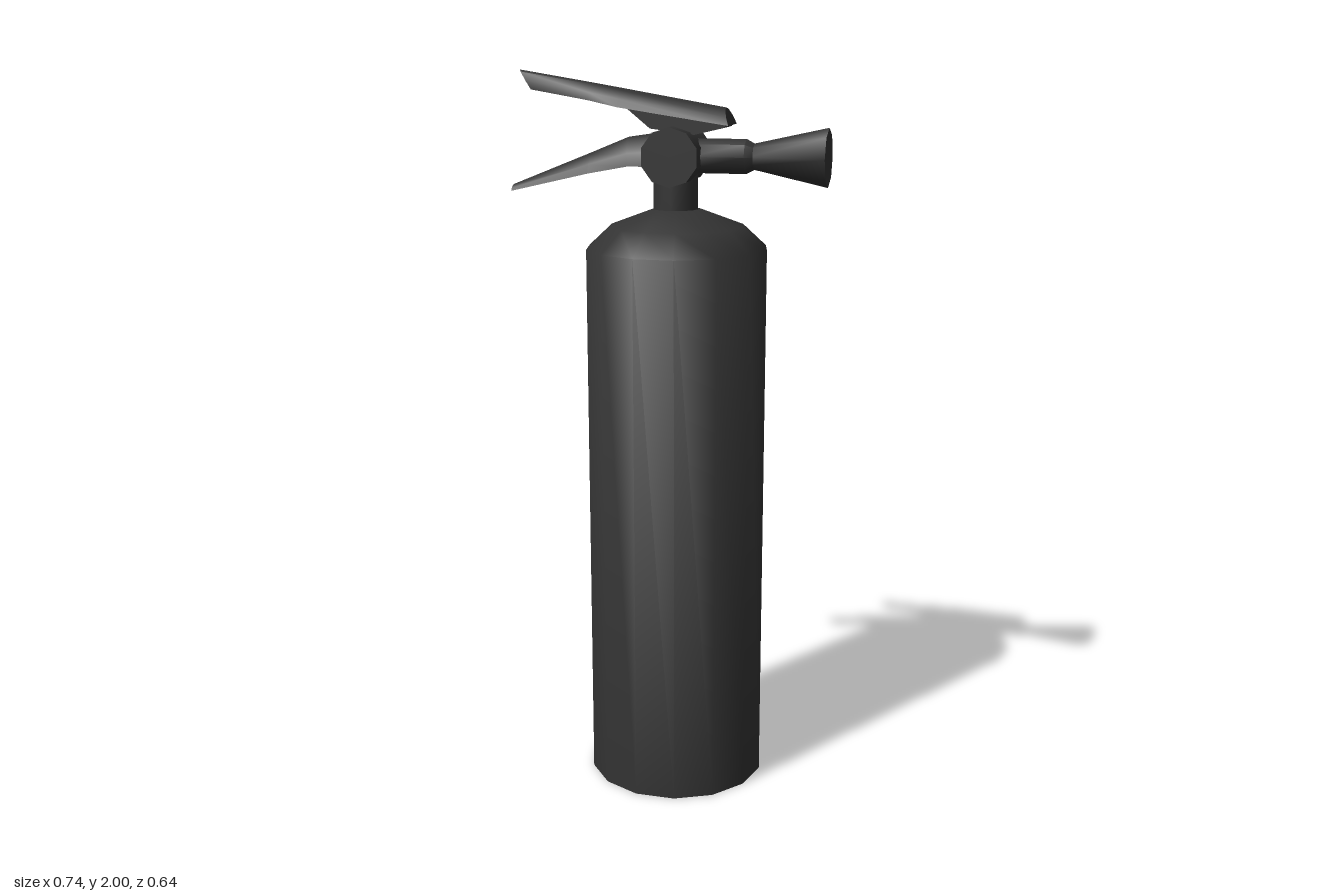
import * as THREE from 'three';
import { toCreasedNormals } from 'three/addons/utils/BufferGeometryUtils.js';

const material = new THREE.MeshStandardMaterial({ color: 0x333333 });

function part(name, geometry, crease = 0.95) {
  const mesh = new THREE.Mesh(toCreasedNormals(geometry, crease), material);
  mesh.name = name;
  return mesh;
}

// Arched cross-section: [side, height], from one lower edge over the ridge to the other
const ARCH = [[-1, 0], [-0.85, 0.45], [-0.4, 0.9], [0, 1], [0.4, 0.9], [0.85, 0.45], [1, 0]];

// Lofts the arch along x; each station is [x, bottom, top, halfWidth, lean of the lower edge]
function loft(stations) {
  const points = [];
  const index = [];
  const n = ARCH.length;
  for (const [x, bottom, top, half, lean] of stations) {
    for (const [side, h] of ARCH) {
      points.push(x + lean * (1 - h), bottom + (top - bottom) * h, side * half);
    }
  }
  for (let s = 0; s < stations.length - 1; s++) {
    for (let i = 0; i < n; i++) {
      const a = s * n + i;
      const b = s * n + ((i + 1) % n);
      index.push(a, b, b + n, a, b + n, a + n);
    }
  }
  const last = (stations.length - 1) * n;
  for (let i = 1; i < n - 1; i++) {
    index.push(0, i + 1, i, last, last + i, last + i + 1);
  }
  const geometry = new THREE.BufferGeometry();
  geometry.setAttribute('position', new THREE.Float32BufferAttribute(points, 3));
  geometry.setIndex(index);
  return geometry;
}

// Revolved profile of [radius, position] pairs
function revolve(profile, sides) {
  return new THREE.LatheGeometry(profile.map(([r, y]) => new THREE.Vector2(r, y)), sides);
}

export function createModel() {
  const model = new THREE.Group();
  model.name = 'fireExtinguisher';

  // Tank with sloping shoulders and a flat base
  const tank = part('tank', revolve([[0, 0], [0.25, 0], [0.25, 1.53], [0.185, 1.59], [0.065, 1.635], [0, 1.635]], 14), 1);
  tank.position.x = 0.006;
  model.add(tank);

  // Valve head, turned so that the nozzle points to the back left
  const head = new THREE.Group();
  head.name = 'valveHead';
  head.rotation.y = THREE.MathUtils.degToRad(40);
  model.add(head);

  const neck = part('neck', new THREE.CylinderGeometry(0.062, 0.062, 0.14, 12));
  neck.position.y = 1.69;
  head.add(neck);

  const valve = part('valveBody', new THREE.CylinderGeometry(0.079, 0.079, 0.178, 10));
  valve.rotation.x = Math.PI / 2;
  valve.position.set(0.003, 1.778, 0.002);
  head.add(valve);

  // Levers: upper squeeze lever and lower carrying handle
  head.add(part('upperLever', loft([
    [-0.435, 1.948, 2.0, 0.017, 0.035],
    [-0.235, 1.922, 1.968, 0.038, 0],
    [-0.145, 1.905, 1.953, 0.062, 0],
    [0.138, 1.86, 1.905, 0.058, 0.017],
  ])));
  head.add(part('lowerHandle', loft([
    [-0.46, 1.675, 1.692, 0.028, 0],
    [-0.235, 1.728, 1.782, 0.045, 0],
    [-0.13, 1.75, 1.825, 0.055, 0.01],
    [-0.03, 1.75, 1.84, 0.055, 0],
  ])));

  // Bracket joining the upper lever to the valve
  const outline = new THREE.Shape([[-0.14, 1.915], [-0.06, 1.85], [0.06, 1.835], [0.145, 1.855], [0.135, 1.875]]
    .map(([x, y]) => new THREE.Vector2(x, y)));
  const bracketGeometry = new THREE.ExtrudeGeometry(outline, { depth: 0.09, bevelEnabled: false });
  bracketGeometry.translate(0, 0, -0.045);
  head.add(part('leverBracket', bracketGeometry, 0.5));

  // Outlet fitting and flared nozzle along the head axis
  const fitting = part('outletFitting', revolve([[0, 0.22], [0.03, 0.225], [0.046, 0.195], [0.046, 0.05], [0, 0.05]].reverse(), 8), 0.85);
  const nozzle = part('nozzle', revolve([[0, 0.2], [0.031, 0.2], [0.078, 0.414], [0, 0.414]], 8), 0.85);
  for (const mesh of [fitting, nozzle]) {
    mesh.rotation.z = -Math.PI / 2;
    mesh.position.set(0, 1.778, 0.004);
    head.add(mesh);
  }
  return model;
}
